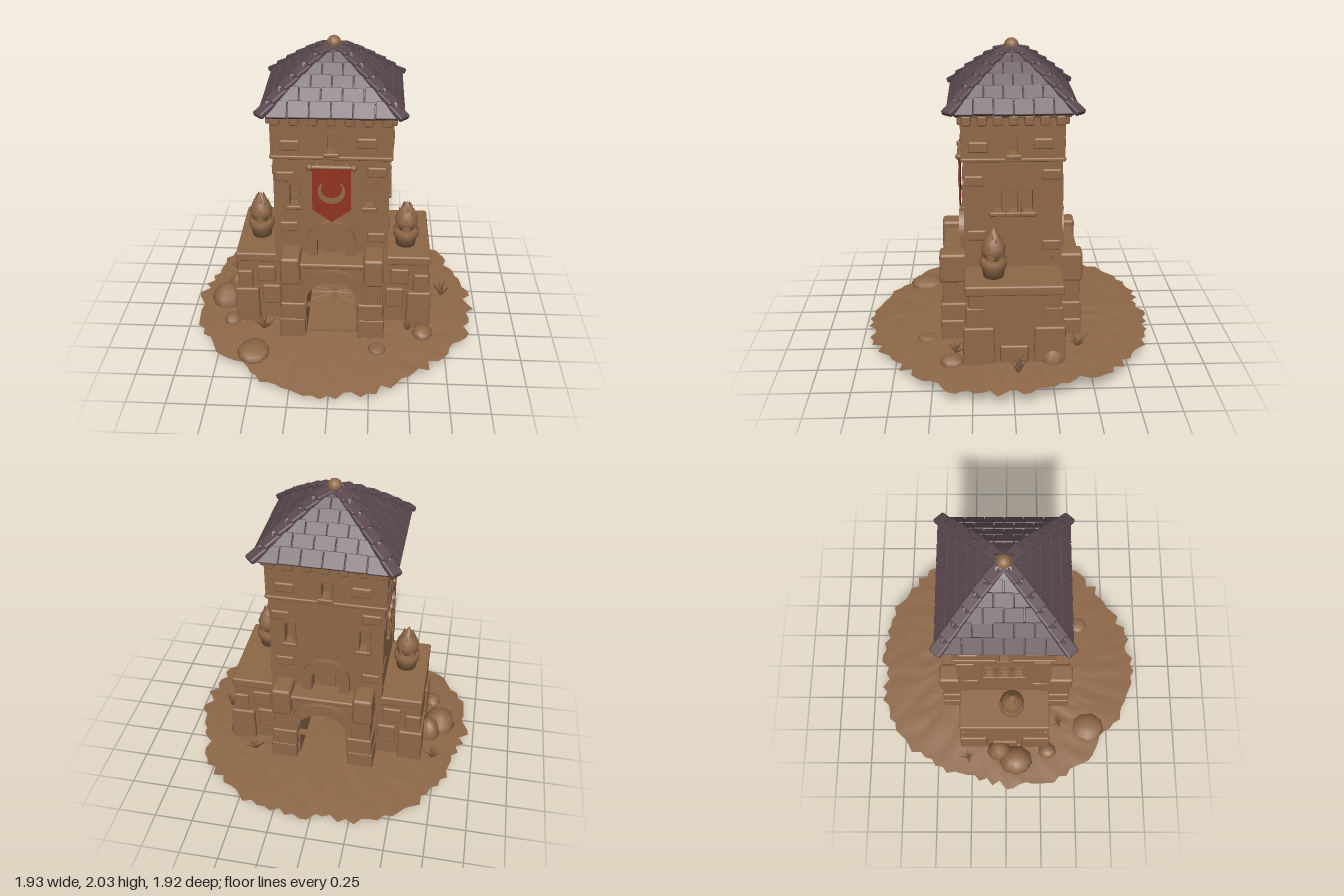
import * as THREE from 'three';
import { RoundedBoxGeometry } from 'three/addons/geometries/RoundedBoxGeometry.js';

let seed = 7;
const rnd = (a = 0, b = 1) => {
  seed = (seed * 16807) % 2147483647;
  return a + (b - a) * seed / 2147483647;
};

const stone = new THREE.MeshStandardMaterial({ color: 0x8f6848, side: THREE.DoubleSide });
const slate = new THREE.MeshStandardMaterial({ color: 0x5b4a50 });
const cloth = new THREE.MeshStandardMaterial({ color: 0x92321f });
stone.name = 'brown stone'; slate.name = 'purple slate'; cloth.name = 'red cloth';

function add(parent, name, geo, mat, x = 0, y = 0, z = 0) {
  const m = new THREE.Mesh(geo, mat);
  m.name = name;
  m.position.set(x, y, z);
  parent.add(m);
  return m;
}

// Worn block given by its extents; the top is narrowed by a taper factor
function block(parent, name, x0, x1, y0, y1, z0, z1, taper = 1, mat = stone, r = 0.012) {
  const w = x1 - x0, h = y1 - y0, d = z1 - z0;
  const g = new RoundedBoxGeometry(w, h, d, 2, Math.min(r, w / 3, h / 3, d / 3));
  const p = g.attributes.position;
  for (let i = 0; i < p.count; i++) {
    const s = 1 + (taper - 1) * (p.getY(i) / h + 0.5);
    p.setX(i, p.getX(i) * s);
    p.setZ(i, p.getZ(i) * s);
  }
  return add(parent, name, g, mat, (x0 + x1) / 2, (y0 + y1) / 2, (z0 + z1) / 2);
}

// Round-headed outline, used for openings, frames and doors
function arch(path, cx, w, y0, y1, ry = w / 2) {
  path.moveTo(cx - w / 2, y0);
  path.lineTo(cx - w / 2, y1 - ry);
  path.absellipse(cx, y1 - ry, w / 2, ry, Math.PI, 0, true);
  path.lineTo(cx + w / 2, y0);
  path.closePath();
  return path;
}
const extrude = (shape, depth) =>
  new THREE.ExtrudeGeometry(shape, { depth, bevelEnabled: false, curveSegments: 10 });

// Height of the ground at a point
const ground = (x, z) => 0.1 - 0.04 * (x * x + z * z) - 0.03 * z - 0.03 * z * z;

function makeGround(g) {
  const N = 120, R = 14, pos = [], idx = [];
  for (let j = 0; j < N; j++) {
    const a = j / N * Math.PI * 2;
    const edge = 0.935 + 0.02 * Math.sin(5 * a) + rnd(-0.03, 0.035);
    for (let i = 0; i <= R; i++) {
      const r = i / R * (i === R ? edge : 0.95);
      const x = Math.cos(a) * r, z = Math.sin(a) * r;
      const bump = i && i < R ? rnd(-0.005, 0.005) : 0;
      pos.push(x, Math.max(0, ground(x, z) + bump), z);
      if (i < R) {
        const p = j * (R + 1) + i, q = ((j + 1) % N) * (R + 1) + i;
        idx.push(p, q, p + 1, q, q + 1, p + 1);
      }
    }
  }
  const geo = new THREE.BufferGeometry();
  geo.setAttribute('position', new THREE.Float32BufferAttribute(pos, 3));
  geo.setIndex(idx);
  geo.computeVertexNormals();
  add(g, 'ground', geo, stone);
  // Boulders: x, z, radius, height
  [[-0.75, 0.07, 0.11, 0.11], [-0.68, -0.05, 0.08, 0.13], [-0.5, 0.6, 0.11, 0.05], [0.6, 0.38, 0.07, 0.05],
    [0.62, -0.25, 0.07, 0.09], [-0.68, 0.3, 0.06, 0.05], [0.3, 0.55, 0.06, 0.02]].forEach(([x, z, r, h]) => {
    add(g, 'boulder', new THREE.SphereGeometry(1, 9, 6), stone, x, ground(x, z), z).scale.set(r, h, r * 1.1);
  });
  // Grass tufts: x, z, size
  [[0.75, -0.03, 0.15], [0.47, -0.42, 0.12], [-0.73, -0.27, 0.11], [-0.46, 0.38, 0.13], [0.5, 0.36, 0.1]].forEach(([x, z, s]) => {
    const tuft = new THREE.Group();
    tuft.name = 'grassTuft';
    tuft.position.set(x, ground(x, z), z);
    for (let i = 0; i < 13; i++) {
      const blade = new THREE.ConeGeometry(0.008, s * rnd(0.7, 1), 3);
      blade.translate(0, s * 0.4, 0).rotateZ(rnd(0.1, 1.0)).rotateY(i * 2.4);
      add(tuft, 'blade', blade, stone);
    }
    g.add(tuft);
  });
}

function makeBase(g) {
  // Gatehouse with an open passage from front to back
  const s = new THREE.Shape([[-0.32, 0.06], [0.32, 0.06], [0.3, 0.61], [-0.3, 0.61]].map(p => new THREE.Vector2(...p)));
  s.holes.push(arch(new THREE.Path(), -0.005, 0.32, 0.09, 0.49, 0.13));
  add(g, 'gatehouse', extrude(s, 0.82), stone, 0, 0, -0.41);
  for (const f of [1, -1]) {
    const end = new THREE.Group();
    end.name = f > 0 ? 'frontGate' : 'backGate';
    end.rotation.y = f > 0 ? 0 : Math.PI;
    const ring = arch(new THREE.Shape(), 0, 0.44, 0.3, 0.575, 0.2);
    ring.holes.push(arch(new THREE.Path(), 0, 0.32, 0.301, 0.49, 0.13));
    add(end, 'gateArch', extrude(ring, 0.05), stone, 0, 0, 0.39);
    block(end, 'sill', -0.22, 0.22, 0.595, 0.63, 0.28, 0.44);
    for (const m of [-1, 1]) {
      const e = (n, a, b, ...r) => block(end, n, Math.min(m * a, m * b), Math.max(m * a, m * b), ...r);
      e('pillarFoot', 0.17, 0.345, 0.06, 0.21, 0.25, 0.46, 0.97);
      e('pillarLower', 0.165, 0.335, 0.2, 0.33, 0.25, 0.455, 0.97);
      e('pillarUpper', 0.19, 0.32, 0.32, 0.49, 0.25, 0.445, 0.97);
      e('pillarCap', 0.2, 0.33, 0.475, 0.675, 0.25, 0.46, 0.97, stone, 0.02);
    }
    g.add(end);
  }
  // Side wings with ledge, corner stones and facing blocks
  for (const m of [-1, 1]) {
    const b = (n, x0, x1, ...r) => block(g, n, m > 0 ? x0 : -x1, m > 0 ? x1 : -x0, ...r);
    b('wing', 0.19, 0.635, 0.05, 0.56, -0.3, 0.275, 0.975);
    b('ledge', 0.25, 0.635, 0.54, 0.605, -0.315, 0.295);
    for (const f of [-1, 1]) {
      const z = (a, c) => (f > 0 ? [a, c] : [-c - 0.02, -a - 0.02]);
      b('cornerStone', 0.49, 0.655, 0.05, 0.33, ...z(0.11, 0.31), 0.95);
      b('cornerUpper', 0.53, 0.635, 0.32, 0.46, ...z(0.17, 0.29), 0.96);
      b('facingStone', 0.35, 0.47, 0.2, 0.35, ...z(0.2, 0.29));
      b('facingStone', 0.38, 0.5, 0.38, 0.5, ...z(0.2, 0.285));
    }
    b('sideStone', 0.56, 0.65, 0.06, 0.2, -0.1, 0.08, 0.98);
  }
}

// One tower wall facing +z, at distance d from the tower axis
function makeWall(g, name, angle, w, d, kind) {
  const wall = new THREE.Group();
  wall.name = name;
  wall.rotation.y = angle;
  g.add(wall);
  const s = new THREE.Shape([[-w - 0.006, 0.55], [w + 0.006, 0.55], [w - 0.004, 1.32], [-w + 0.004, 1.32]].map(p => new THREE.Vector2(...p)));
  const u = new THREE.Shape([[-w - 0.01, 1.31], [w + 0.01, 1.31], [w + 0.01, 1.6], [-w - 0.01, 1.6]].map(p => new THREE.Vector2(...p)));
  const window = (shape, x, y0, y1, ow, z) => {
    shape.holes.push(arch(new THREE.Path(), x, ow, y0, y1));
    const f = arch(new THREE.Shape(), x, ow + 0.04, y0 - 0.015, y1 + 0.02);
    f.holes.push(arch(new THREE.Path(), x, ow, y0, y1));
    add(wall, 'windowFrame', extrude(f, 0.03), stone, 0, 0, z - 0.015);
    block(wall, 'windowSill', x - ow / 2 - 0.025, x + ow / 2 + 0.025, y0 - 0.03, y0, z - 0.02, z + 0.02);
  };
  window(u, 0, 1.355, 1.475, 0.05, d + 0.01);
  const slits = kind === 'gate' ? [-0.235, 0.235] : [-0.095, 0, 0.095];
  slits.forEach(x => window(s, x, 0.98, 1.14, 0.05, d));
  if (kind === 'gate') {
    // Arched niche above the gate
    s.holes.push(arch(new THREE.Path(), 0, 0.18, 0.6, 0.81));
    const ring = arch(new THREE.Shape(), 0, 0.31, 0.61, 0.875);
    ring.holes.push(arch(new THREE.Path(), 0, 0.18, 0.611, 0.81));
    add(wall, 'nicheArch', extrude(ring, 0.07), stone, 0, 0, d - 0.03);
    add(wall, 'nicheDoor', extrude(arch(new THREE.Shape(), 0, 0.1, 0.61, 0.79), 0.03), stone, 0, 0, d - 0.06);
  }
  add(wall, 'lowerWall', extrude(s, 0.06), stone, 0, 0, d - 0.06);
  add(wall, 'upperWall', extrude(u, 0.07), stone, 0, 0, d - 0.06);
  block(wall, 'band', -w - 0.012, w + 0.012, 1.305, 1.33, d - 0.04, d + 0.018);
  // Corbels and a few proud stones
  for (let i = 0; i < 7; i++) {
    const x = (i - 3) * w * 0.31;
    block(wall, 'corbel', x - 0.03, x + 0.03, 1.535, 1.6, d - 0.01, d + 0.035);
  }
  [[-0.8, 1.18], [0.78, 1.22], [-0.75, 0.82], [0.8, 0.75], [0.6, 1.42], [-0.7, 1.4]].forEach(([x, y]) =>
    block(wall, 'proudStone', x * w - 0.06, x * w + 0.06, y - 0.035, y + 0.035, d - 0.03, d + (y > 1.3 ? 0.02 : 0.008)));
}

function makeRoof(g) {
  const roof = new THREE.Group();
  roof.name = 'roof';
  g.add(roof);
  const hx = 0.42, hz = 0.385;
  block(roof, 'cornice', -0.39, 0.39, 1.585, 1.625, -0.345, 0.345);
  // Share of the half width, and height
  const prof = [[1, 1.622], [0.84, 1.685], [0.68, 1.745], [0.52, 1.8], [0.36, 1.852], [0.21, 1.895], [0.06, 1.925]];
  const at = (i, sx, sz) => new THREE.Vector3(sx * hx * prof[i][0], prof[i][1], sz * hz * prof[i][0]);
  for (let i = 0; i < 6; i++) {
    const [s0, y0] = prof[i], [s1, y1] = prof[i + 1];
    const core = new THREE.CylinderGeometry(s1 * Math.SQRT2, s0 * Math.SQRT2, y1 - y0, 4, 1).toNonIndexed();
    core.rotateY(Math.PI / 4).scale(hx, 1, hz).computeVertexNormals();
    add(roof, 'roofCore', core, slate, 0, (y0 + y1) / 2, 0);
    for (let k = 0; k < 4; k++) {
      // Slates of one course on one side
      const side = new THREE.Group();
      side.name = 'slateCourse';
      side.rotation.y = k * Math.PI / 2;
      roof.add(side);
      const half = k % 2 ? hz : hx, out = k % 2 ? hx : hz;
      const run = (s0 - s1) * out, rise = y1 - y0, n = Math.max(1, Math.round(s0 * 6));
      const W = half * (s0 + s1) / 2;
      for (let j = 0; j < n; j++) {
        const x0 = -W + 2 * W * j / n, x1 = x0 + 2 * W / n;
        const b = block(side, 'slate', x0 + 0.002, x1 - 0.002, 0, Math.hypot(run, rise) + 0.018, -0.012, 0.012, 1, slate, 0.005);
        b.position.set((x0 + x1) / 2, (y0 + y1) / 2 + rnd(-0.004, 0.004), out * (s0 + s1) / 2 + 0.003);
        b.rotation.x = -Math.atan2(run, rise) + 0.07;
      }
    }
    // Hip caps over the four corners
    for (const sx of [-1, 1]) for (const sz of [-1, 1]) {
      const a = at(i, sx, sz), b = at(i + 1, sx, sz);
      const cap = block(roof, 'hipCap', -0.04, 0.04, -0.016, 0.02, -a.distanceTo(b) / 2 - 0.012, a.distanceTo(b) / 2 + 0.012, 1, slate);
      cap.position.copy(a).add(b).multiplyScalar(0.5);
      cap.lookAt(b.add(new THREE.Vector3(0, -0.008, 0)));
    }
  }
  add(roof, 'finial', new THREE.SphereGeometry(0.045, 12, 9), stone, 0, 1.942, 0);
  roof.position.set(-0.005, 0, -0.01);
}

function makePlanter(g, x, z) {
  const p = new THREE.Group();
  p.name = 'planter';
  p.position.set(x, 0.6, z);
  const lathe = pts => new THREE.LatheGeometry(pts.map(q => new THREE.Vector2(...q)), 14);
  add(p, 'pot', lathe([[0, 0], [0.064, 0], [0.074, 0.07], [0.084, 0.075], [0.085, 0.115], [0.07, 0.12], [0, 0.11]]), stone);
  add(p, 'shrub', lathe([[0.04, 0.11], [0.07, 0.15], [0.076, 0.19], [0.06, 0.235], [0.035, 0.28], [0, 0.325]]), stone);
  for (let i = 0; i < 15; i++) {
    const row = Math.floor(i / 5), leaf = new THREE.ConeGeometry(0.03, 0.095, 5);
    leaf.scale(1, 1, 0.5).rotateX(0.12 - row * 0.15).translate(0, 0.18 + row * 0.045, 0.066 - row * 0.015).rotateY((i + row / 2) * 1.257);
    add(p, 'leaf', leaf, stone);
  }
  g.add(p);
}

function makeBanner(g) {
  const b = new THREE.Group();
  b.name = 'banner';
  b.position.set(-0.005, 0, 0.32);
  const s = new THREE.Shape([[-0.12, 1.265], [-0.12, 0.97], [0, 0.88], [0.12, 0.97], [0.12, 1.265]].map(p => new THREE.Vector2(...p)));
  add(b, 'bannerCloth', extrude(s, 0.009), cloth);
  // Plain upturned crescent
  const c = new THREE.Shape();
  c.absarc(0, 1.1, 0.085, 2.4, 0.74 + Math.PI * 2, false);
  c.absarc(0, 1.118, 0.065, 0.64, 2.5, true);
  add(b, 'crescent', extrude(c, 0.004), stone, 0, 0, 0.009);
  add(b, 'bannerPole', new THREE.CylinderGeometry(0.013, 0.013, 0.27, 8).rotateZ(Math.PI / 2), stone, 0, 1.265, 0.005);
  for (const m of [-1, 1]) {
    add(b, 'poleKnob', new THREE.SphereGeometry(0.022, 8, 6), stone, m * 0.135, 1.265, 0.005);
    block(b, 'bracket', m * 0.09 - 0.01, m * 0.09 + 0.01, 1.255, 1.28, -0.05, 0.005);
  }
  g.add(b);
}

export function createModel() {
  seed = 7;
  const g = new THREE.Group();
  g.name = 'gateTower';
  makeGround(g);
  makeBase(g);
  const tower = new THREE.Group();
  tower.name = 'tower';
  tower.position.set(-0.008, 0, -0.01);
  block(tower, 'towerCore', -0.3, 0.3, 0.55, 1.6, -0.245, 0.245);
  ['frontWall', 'leftWall', 'backWall', 'rightWall'].forEach((n, k) =>
    makeWall(tower, n, k * Math.PI / 2, k % 2 ? 0.302 : 0.36, k % 2 ? 0.36 : 0.302, k % 2 ? 'side' : 'gate'));
  g.add(tower);
  makeRoof(g);
  makePlanter(g, 0.475, 0.115);
  makePlanter(g, -0.49, 0.04);
  makeBanner(g);
  return g;
}
